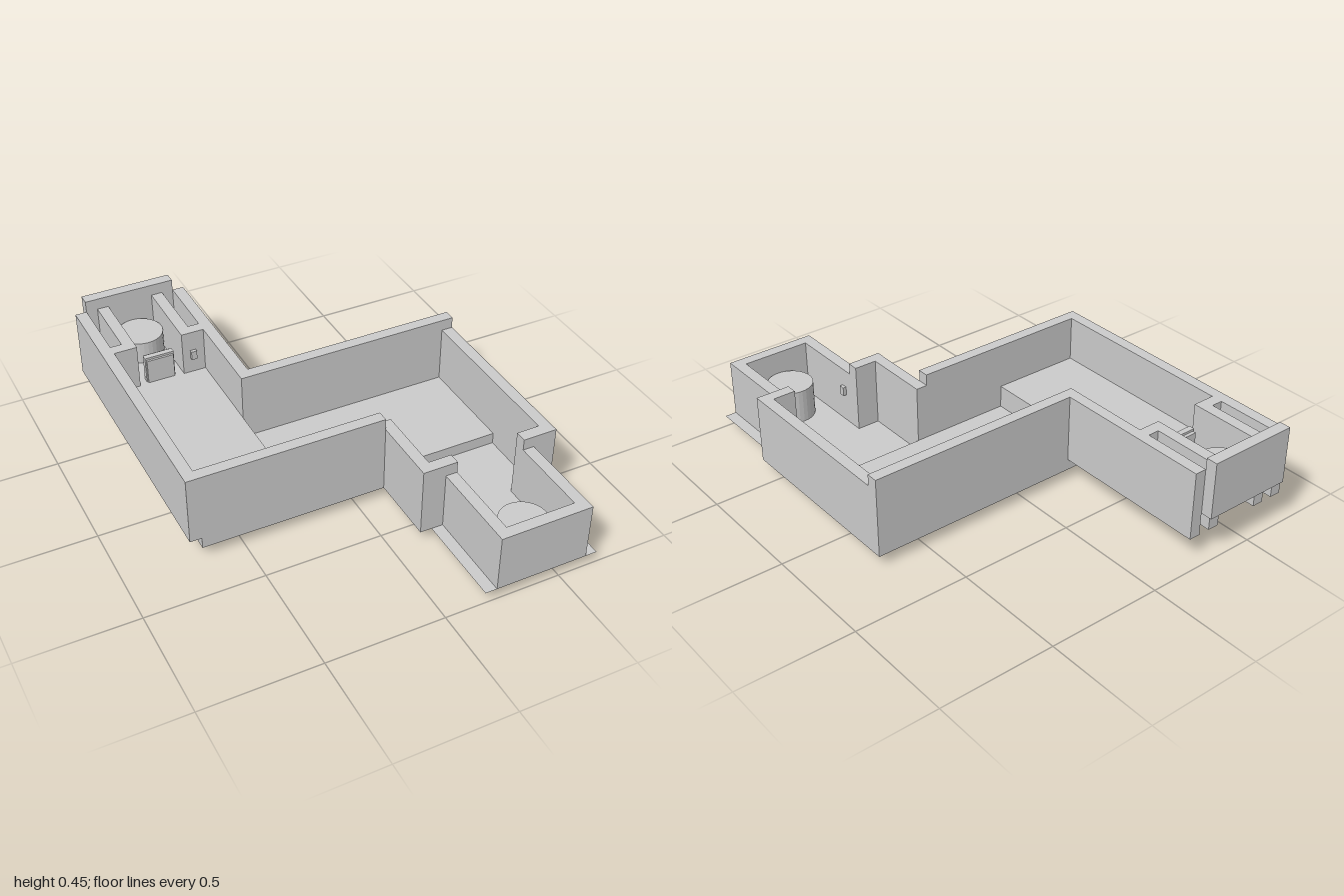
import * as THREE from 'three';

export function createModel() {
  const model = new THREE.Group();
  const grey = new THREE.MeshStandardMaterial({ color: 0xcccccc, flatShading: true });
  const thin = new THREE.MeshStandardMaterial({ color: 0xcccccc, flatShading: true, side: THREE.DoubleSide });

  const add = (name, geometry, material = grey) => {
    const mesh = new THREE.Mesh(geometry, material);
    mesh.name = name;
    model.add(mesh);
    return mesh;
  };
  // Box given by its limits on each axis
  const box = (name, [x0, x1], [y0, y1], [z0, z1]) =>
    add(name, new THREE.BoxGeometry(x1 - x0, y1 - y0, z1 - z0))
      .position.set((x0 + x1) / 2, (y0 + y1) / 2, (z0 + z1) / 2);
  // Thin level sheet
  const sheet = (name, [x0, x1], y, [z0, z1]) =>
    add(name, new THREE.PlaneGeometry(x1 - x0, z1 - z0).rotateX(-Math.PI / 2), thin)
      .position.set((x0 + x1) / 2, y, (z0 + z1) / 2);
  const drum = (name, x, z, y0, y1) =>
    add(name, new THREE.CylinderGeometry(0.1, 0.1, y1 - y0, 32)).position.set(x, (y0 + y1) / 2, z);

  // Floors on three levels
  sheet('longRoomFloor', [-0.675, -0.275], 0.2, [-0.95, 0.25]);
  sheet('middleRoomFloor', [-0.275, 0.67], 0.1, [-0.2, 0.25]);
  sheet('porchFloor', [0.17, 0.67], 0.05, [0.25, 1]);

  // Risers between the levels
  add('longRoomRiser', new THREE.PlaneGeometry(0.45, 0.1).rotateY(Math.PI / 2), thin)
    .position.set(-0.275, 0.15, 0.025);
  add('porchRiser', new THREE.PlaneGeometry(0.5, 0.05), thin).position.set(0.42, 0.075, 0.25);

  // Long room walls
  box('longRoomOuterWall', [-0.725, -0.675], [0.1, 0.4], [-0.95, 0.3]);
  box('longRoomInnerWall', [-0.275, -0.225], [0.1, 0.4], [-0.95, -0.25]);
  box('frontWall', [-0.675, 0.12], [0.05, 0.4], [0.25, 0.3]);
  box('backPanel', [-0.675, -0.275], [0.2, 0.45], [-1, -0.95]);

  // Middle room walls
  box('middleBackWall', [-0.275, 0.72], [0.05, 0.4], [-0.25, -0.2]);
  box('middleSideWall', [0.67, 0.72], [0.05, 0.35], [-0.2, 0.6]);
  box('entrySideWall', [0.12, 0.17], [0.05, 0.35], [0.25, 0.6]);

  for (const s of [-1, 1]) {
    const span = (centre, a, b) => [centre + s * a, centre + s * b].sort((p, q) => p - q);
    // Back alcove: short return plus a narrow wall, with a slot beside it
    box('alcoveReturn', span(-0.475, 0.1, 0.2), [0.2, 0.4], [-0.65, -0.6]);
    box('alcoveWall', span(-0.475, 0.1, 0.15), [0.1, 0.4], [-0.95, -0.65]);
    // Front porch: short return plus low side wall
    box('porchReturn', span(0.42, 0.15, 0.25), [0.05, 0.35], [0.55, 0.6]);
    box('porchSideWall', span(0.42, 0.15, 0.2), [0.05, 0.3], [0.6, 1]);
  }
  box('porchFrontWall', [0.27, 0.57], [0.05, 0.3], [0.95, 1]);

  // Round plinths in the alcove and the porch
  drum('alcovePlinth', -0.475, -0.85, 0.2, 0.3);
  drum('porchPlinth', 0.42, 0.85, 0.05, 0.2);

  // Door panel standing in the alcove opening
  box('doorPanel', [-0.54, -0.41], [0.2, 0.32], [-0.64, -0.615]);
  box('doorFacing', [-0.535, -0.415], [0.2, 0.31], [-0.655, -0.605]);

  // Wall switches
  box('alcoveSwitch', [-0.34, -0.315], [0.27, 0.31], [-0.6, -0.585]);
  box('porchSwitch', [0.27, 0.285], [0.18, 0.22], [0.635, 0.66]);

  // Block under the middle floor
  box('footBlock', [-0.275, -0.08], [0, 0.1], [-0.1, 0.15]);

  return model;
}
